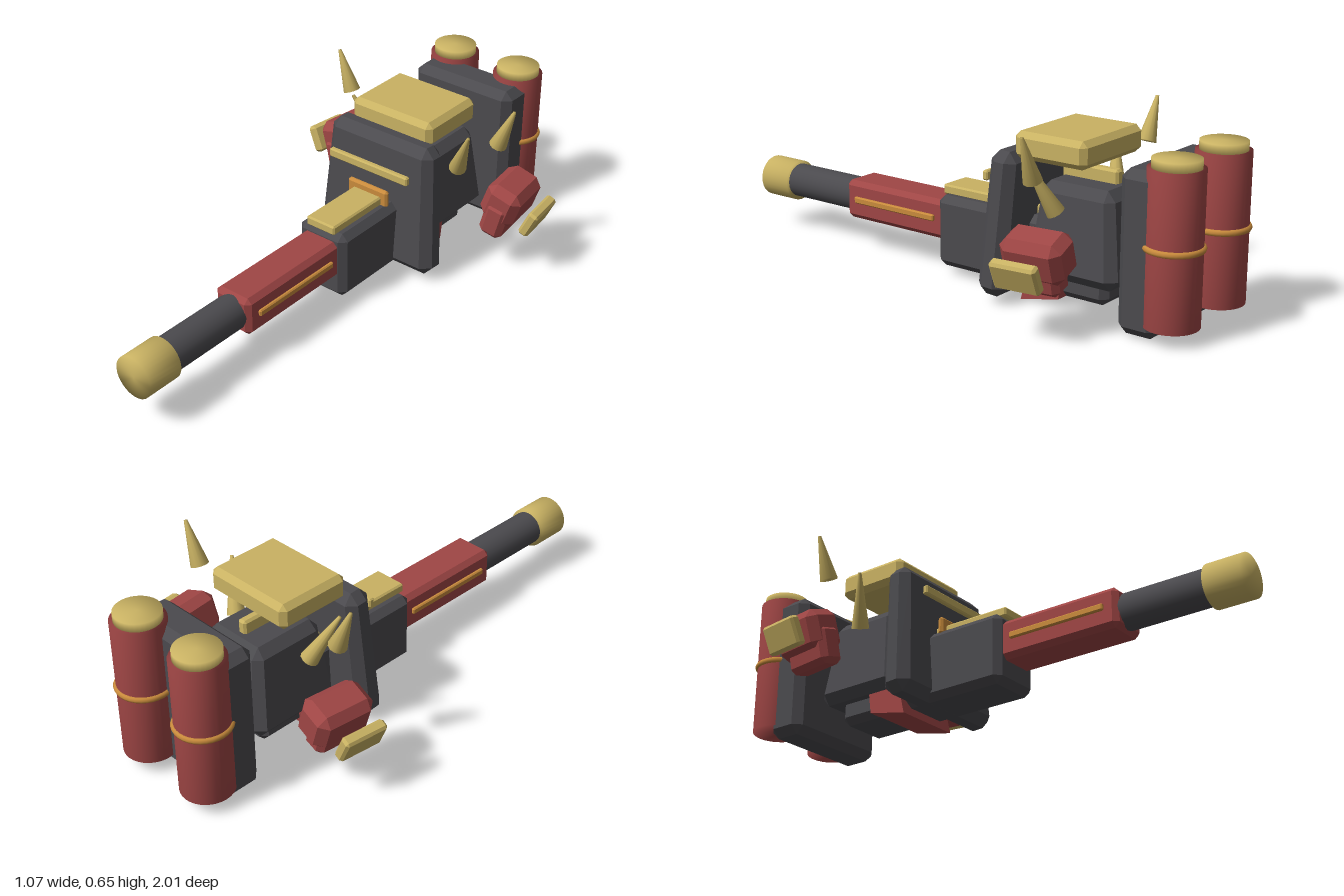
import * as THREE from 'three';
import { mergeVertices } from 'three/addons/utils/BufferGeometryUtils.js';
import { ConvexGeometry } from 'three/addons/geometries/ConvexGeometry.js';

const material = (name, color) => {
  const m = new THREE.MeshStandardMaterial({ color });
  m.name = name;
  return m;
};

// Box with chamfered edges; its top may be narrower than its base
function chamferBox(w, h, d, c, topX = 1, topZ = 1) {
  const points = [];
  for (const sx of [-1, 1]) for (const sy of [-1, 1]) for (const sz of [-1, 1]) {
    for (const [cx, cy, cz] of [[0, c, c], [c, 0, c], [c, c, 0]]) {
      const y = sy * (h / 2 - cy);
      const t = y / h + 0.5;
      points.push(new THREE.Vector3(
        sx * (w / 2 - cx) * (1 + (topX - 1) * t), y,
        sz * (d / 2 - cz) * (1 + (topZ - 1) * t)));
    }
  }
  return new ConvexGeometry(points);
}

// Cylinder whose normals blend around the rims
function softCylinder(rTop, rBottom, h, sides = 32) {
  const g = new THREE.CylinderGeometry(rTop, rBottom, h, sides);
  g.deleteAttribute('normal');
  g.deleteAttribute('uv');
  const merged = mergeVertices(g);
  merged.computeVertexNormals();
  return merged;
}

export function createModel() {
  const model = new THREE.Group();
  model.name = 'walkerCannon';
  const dark = material('charcoal', 0x4b4a4e);
  const red = material('brickRed', 0x9f4645);
  const gold = material('paleGold', 0xc9b263);
  const orange = material('amber', 0xc98b3c);

  const add = (name, geometry, mat, pos, rot = [0, 0, 0]) => {
    const mesh = new THREE.Mesh(geometry, mat);
    mesh.name = name;
    mesh.position.set(...pos);
    mesh.rotation.set(...rot);
    model.add(mesh);
    return mesh;
  };
  const addHorn = (name, base, tip, radius) => {
    const a = new THREE.Vector3(...base), b = new THREE.Vector3(...tip);
    const axis = b.clone().sub(a);
    const mesh = add(name, softCylinder(0.006, radius, axis.length(), 12), gold,
      a.clone().add(b).multiplyScalar(0.5).toArray());
    mesh.quaternion.setFromUnitVectors(new THREE.Vector3(0, 1, 0), axis.normalize());
  };

  // Cannon
  const along = [Math.PI / 2, 0, 0];
  add('muzzle', softCylinder(0.077, 0.077, 0.135), gold, [0, 0.193, 0.9325], along);
  add('barrel', new THREE.CylinderGeometry(0.064, 0.064, 0.5, 24), dark, [0, 0.195, 0.65], along);
  add('barrelShroud', chamferBox(0.155, 0.145, 0.53, 0.018), red, [0, 0.194, 0.285]);
  add('cannonHousing', chamferBox(0.21, 0.26, 0.72, 0.025), dark, [0, 0.165, -0.27]);
  add('housingTopPlate', chamferBox(0.126, 0.036, 0.47, 0.006), gold, [0, 0.308, -0.145]);

  // Front shield and its trim
  add('frontShield', chamferBox(0.52, 0.5, 0.115, 0.035, 0.86, 0.87), dark, [0, 0.283, -0.268], [-0.06, 0, 0]);
  add('shieldStripe', chamferBox(0.35, 0.034, 0.022, 0.005), gold, [0, 0.427, -0.183]);
  add('shieldBadge', chamferBox(0.178, 0.066, 0.022, 0.008), orange, [0, 0.32, -0.183]);

  // Torso, lower guard and head
  add('torso', chamferBox(0.335, 0.325, 0.365, 0.035, 0.75, 0.76), dark, [0, 0.2725, -0.516]);
  const guard = new THREE.Shape([
    [0.305, 0.003], [0.46, 0.036], [0.475, 0.14], [0.34, 0.14],
  ].map(p => new THREE.Vector2(...p)));
  add('lowerGuard', new THREE.ExtrudeGeometry(guard, { depth: 0.26, bevelEnabled: false }),
    red, [-0.13, 0, 0], [0, Math.PI / 2, 0]);
  add('crestFin', chamferBox(0.036, 0.07, 0.22, 0.008), gold, [0, 0.447, -0.5]);
  add('headPlate', chamferBox(0.355, 0.095, 0.285, 0.02), gold, [0, 0.5525, -0.443]);

  // Backpack
  add('backpack', chamferBox(0.435, 0.545, 0.15, 0.03), dark, [0, 0.2825, -0.811]);

  // Mirrored parts
  for (const s of [1, -1]) {
    const side = s > 0 ? 'left' : 'right';
    add(side + 'ShroudStrip', chamferBox(0.018, 0.024, 0.38, 0.004), orange, [s * 0.079, 0.198, 0.31]);

    // Tanks
    add(side + 'Tank', softCylinder(0.093, 0.093, 0.515), red, [s * 0.145, 0.3125, -0.905]);
    add(side + 'TankCap', softCylinder(0.08, 0.08, 0.04), gold, [s * 0.145, 0.58, -0.905]);
    add(side + 'TankBand', new THREE.TorusGeometry(0.09, 0.012, 8, 32), orange,
      [s * 0.145, 0.315, -0.905], along);

    // Arms and guards
    add(side + 'Shoulder', chamferBox(0.14, 0.15, 0.22, 0.03), red,
      [s * 0.372, 0.275, -0.55], [0, s * 0.12, s * -0.32]);
    add(side + 'Forearm', chamferBox(0.092, 0.14, 0.2, 0.02), red,
      [s * 0.36, 0.217, -0.53], [0, s * 0.12, s * -0.24]);
    add(side + 'ArmGuard', chamferBox(0.04, 0.105, 0.165, 0.009), gold,
      [s * 0.489, 0.234, -0.552], [0, s * 0.12, s * -0.43]);

    // Horns
    addHorn(side + 'LargeHorn', [s * 0.335, 0.497, -0.5], [s * 0.395, 0.648, -0.5], 0.033);
    addHorn(side + 'SmallHorn', [s * 0.18, 0.355, -0.48], [s * 0.262, 0.53, -0.418], 0.033);
  }
  return model;
}
